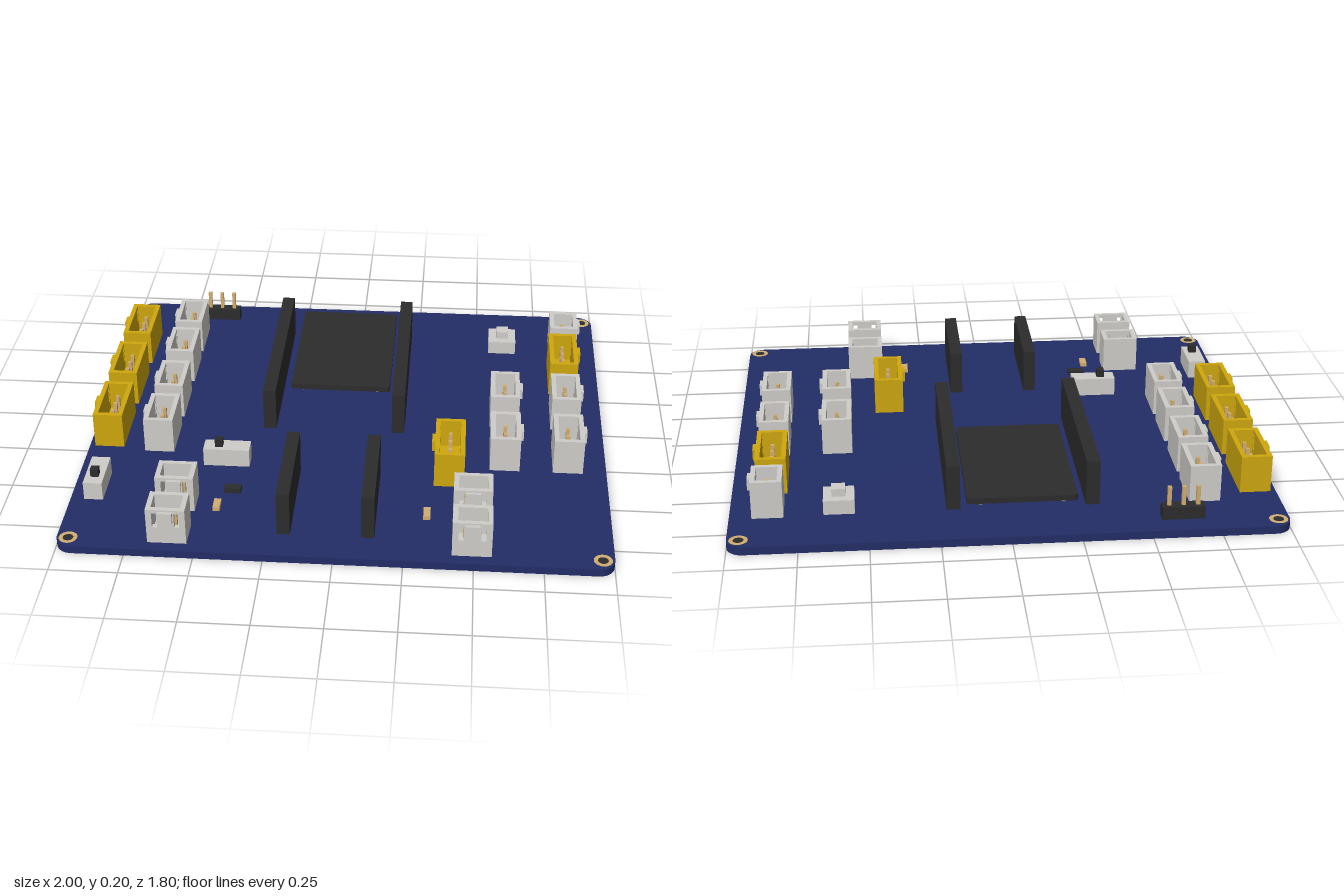
import * as THREE from 'three';

const mat = (name, color) => {
  const m = new THREE.MeshStandardMaterial({ color });
  m.name = name;
  return m;
};

export function createModel() {
  const model = new THREE.Group();
  model.name = 'circuitBoard';
  const navy = mat('navy board', 0x222d66);
  const white = mat('white plastic', 0xd0cec9);
  const yellow = mat('yellow plastic', 0xd0a80e);
  const black = mat('black plastic', 0x2c2c2c);
  const gold = mat('gold metal', 0xd2ad72);
  const brown = mat('brown underside', 0x6b4a3a);
  const TOP = 0.03;

  const add = (parent, name, geo, material, x = 0, y = 0, z = 0) => {
    const m = new THREE.Mesh(geo, material);
    m.name = name;
    m.position.set(x, y, z);
    parent.add(m);
    return m;
  };
  // box given by its minimum and maximum on each axis
  const block = (parent, name, material, x0, x1, y0, y1, z0, z1) =>
    add(parent, name, new THREE.BoxGeometry(x1 - x0, y1 - y0, z1 - z0), material,
      (x0 + x1) / 2, (y0 + y1) / 2, (z0 + z1) / 2);
  const rectPath = (path, x0, x1, y0, y1) =>
    path.moveTo(x0, y0).lineTo(x1, y0).lineTo(x1, y1).lineTo(x0, y1).closePath();

  const roundedPlate = (hx, hz, r, h) => {
    const s = new THREE.Shape();
    s.absarc(hx - r, hz - r, r, 0, Math.PI / 2);
    s.absarc(-hx + r, hz - r, r, Math.PI / 2, Math.PI);
    s.absarc(-hx + r, -hz + r, r, Math.PI, Math.PI * 1.5);
    s.absarc(hx - r, -hz + r, r, Math.PI * 1.5, Math.PI * 2);
    return new THREE.ExtrudeGeometry(s, { depth: h, bevelEnabled: false, curveSegments: 8 })
      .rotateX(-Math.PI / 2);
  };

  // board with a plated hole in each corner
  add(model, 'board', roundedPlate(1, 0.9, 0.06, TOP), navy);
  for (const x of [-0.957, 0.957]) for (const z of [-0.85, 0.85]) {
    add(model, 'mountingRing', new THREE.RingGeometry(0.019, 0.034, 24).rotateX(-Math.PI / 2),
      gold, x, TOP + 0.003, z);
    add(model, 'mountingHole', new THREE.CircleGeometry(0.02, 24).rotateX(-Math.PI / 2),
      black, x, TOP + 0.002, z);
  }

  // open-topped plug socket: long side along x, slotted wall facing +z
  const socket = (pins, material, x, z, turn) => {
    const g = new THREE.Group();
    g.name = `socket${pins}Pin`;
    const L = 0.035 + pins * 0.0535, W = 0.114, H = 0.143, t = 0.018;
    const hl = L / 2, hw = W / 2;
    const face = new THREE.Shape();
    rectPath(face, -hl, hl, 0, H);
    for (const s of [-1, 1]) {
      const c = s * (hl - 0.031), slot = new THREE.Path();
      rectPath(slot, c - 0.009, c + 0.009, 0.068, 0.128);
      face.holes.push(slot);
    }
    add(g, 'slottedWall', new THREE.ExtrudeGeometry(face, { depth: t, bevelEnabled: false }),
      material, 0, 0, hw - t);
    block(g, 'backWall', material, -hl, hl, 0, H, -hw, -hw + t);
    block(g, 'endWall', material, -hl, -hl + t, 0, H, -hw + t, hw - t);
    block(g, 'endWall', material, hl - t, hl, 0, H, -hw + t, hw - t);
    block(g, 'floor', material, -hl + t, hl - t, 0, 0.03, -hw + t, hw - t);
    block(g, 'latch', material, -0.026, 0.026, 0.092, 0.136, hw, hw + 0.012);
    for (let i = 0; i < pins; i++) {
      const px = (i - (pins - 1) / 2) * 0.052;
      block(g, 'pin', gold, px - 0.007, px + 0.007, 0.03, 0.105, -0.007, 0.007);
    }
    g.position.set(x, TOP, z);
    g.rotation.y = turn;
    model.add(g);
  };
  const toRight = Math.PI / 2, toLeft = -Math.PI / 2;
  for (const z of [-0.507, -0.187, 0.129]) socket(4, yellow, -0.922, z, toLeft);
  for (const z of [-0.592, -0.348, -0.077, 0.177]) socket(3, white, -0.722, z, toLeft);
  for (const x of [0.613, 0.853]) for (const z of [-0.085, 0.215]) socket(3, white, x, z, toRight);
  socket(2, white, 0.862, -0.62, toRight);
  socket(4, yellow, 0.853, -0.38, toRight);
  socket(4, yellow, 0.403, 0.308, toLeft);
  for (const x of [-0.598, 0.493]) for (const z of [0.6, 0.798]) socket(2, white, x, z, 0);

  // tall black header strips
  for (const x of [-0.312, 0.195])
    block(model, 'longHeader', black, x - 0.025, x + 0.025, TOP, 0.203, -0.68, 0.08);
  for (const x of [-0.187, 0.118])
    block(model, 'shortHeader', black, x - 0.024, x + 0.024, TOP, 0.203, 0.362, 0.773);

  // raised module between the long headers
  add(model, 'modulePlate', roundedPlate(0.2, 0.302, 0.012, 0.022), black, -0.049, 0.082, -0.44);
  block(model, 'moduleUnderside', brown, -0.235, 0.137, 0.077, 0.082, -0.69, -0.19);
  for (const x of [-0.2, 0.1]) for (const z of [-0.72, -0.16])
    add(model, 'modulePad', new THREE.CylinderGeometry(0.012, 0.012, 0.008, 12), gold, x, 0.078, z);

  // three-pin header
  block(model, 'pinHeader', black, -0.698, -0.543, TOP, 0.079, -0.82, -0.775);
  for (const x of [-0.673, -0.621, -0.569])
    block(model, 'headerPin', gold, x - 0.007, x + 0.007, 0.079, 0.152, -0.805, -0.79);

  // push button
  block(model, 'buttonBody', white, 0.55, 0.663, TOP, 0.085, -0.682, -0.567);
  block(model, 'buttonCap', white, 0.582, 0.632, 0.085, 0.115, -0.65, -0.6);

  // slide switches
  block(model, 'switchBody', white, -0.537, -0.361, TOP, 0.103, 0.288, 0.356);
  block(model, 'switchKnob', black, -0.494, -0.464, 0.103, 0.134, 0.307, 0.337);
  block(model, 'switchBody', white, -0.949, -0.878, TOP, 0.103, 0.436, 0.609);
  block(model, 'switchKnob', black, -0.928, -0.898, 0.103, 0.134, 0.538, 0.568);

  // small surface parts
  block(model, 'chip', black, -0.435, -0.372, TOP, 0.05, 0.5, 0.534);
  for (const x of [-0.449, 0.327])
    block(model, 'resistor', gold, x - 0.013, x + 0.013, TOP, 0.046, 0.592, 0.65);

  return model;
}
